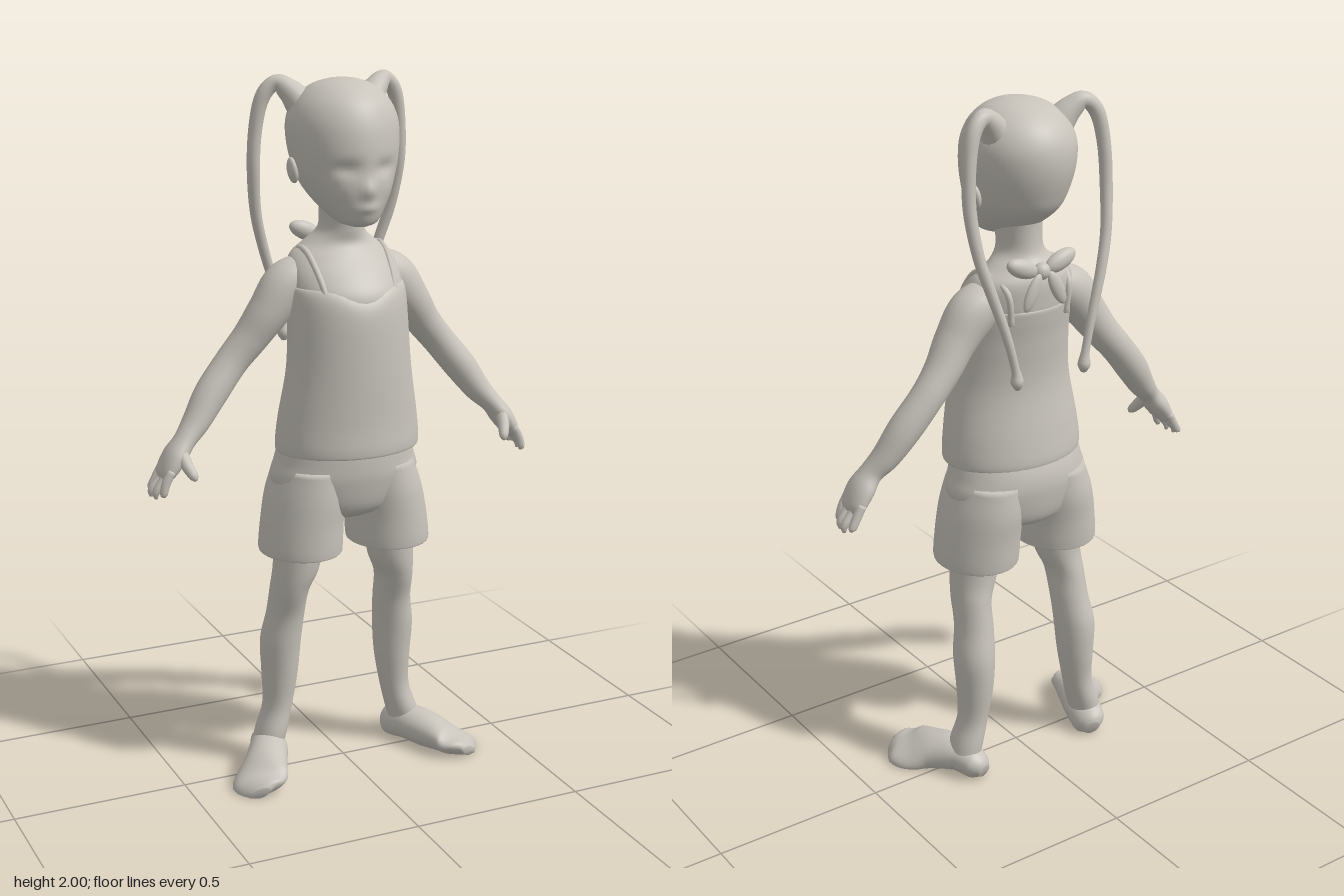
import * as THREE from 'three';

const clay = new THREE.MeshStandardMaterial({ color: 0xc8c4bc });
clay.name = 'warm grey clay';

// Smooth loft through sections [x, y, z, radiusU, radiusV].
// flat: rings stay horizontal (list bottom to top); otherwise they follow the path.
function loft(name, sections, { flat = false, side = 1, rows = 6, cols = 28, shape = null } = {}) {
  const centre = new THREE.CatmullRomCurve3(
    sections.map(s => new THREE.Vector3(s[0] * side, s[1], s[2])), false, 'catmullrom');
  const radius = new THREE.CatmullRomCurve3(
    sections.map(s => new THREE.Vector3(s[3], s[4] ?? s[3], 0)), false, 'catmullrom');
  const n = (sections.length - 1) * rows;
  const pos = [], idx = [];
  const add = p => { if (shape) shape(p); pos.push(p.x, p.y, p.z); };
  for (let i = 0; i <= n; i++) {
    const c = centre.getPoint(i / n), r = radius.getPoint(i / n);
    let u = new THREE.Vector3(1, 0, 0), v = new THREE.Vector3(0, 0, 1);
    if (!flat) {
      const t = centre.getTangent(i / n);
      v.addScaledVector(t, -v.dot(t)).normalize();
      u = t.clone().cross(v);
    }
    for (let j = 0; j < cols; j++) {
      const a = (j / cols) * Math.PI * 2;
      add(c.clone().addScaledVector(u, Math.cos(a) * r.x).addScaledVector(v, Math.sin(a) * r.y));
    }
  }
  for (let i = 0; i < n; i++) for (let j = 0; j < cols; j++) {
    const a = i * cols + j, b = i * cols + (j + 1) % cols;
    idx.push(a, a + cols, b, b, a + cols, b + cols);
  }
  // End caps
  const first = (n + 1) * cols;
  add(centre.getPoint(0));
  add(centre.getPoint(1));
  for (let j = 0; j < cols; j++) {
    const k = (j + 1) % cols;
    idx.push(first, j, k, first + 1, n * cols + k, n * cols + j);
  }
  const geo = new THREE.BufferGeometry();
  geo.setAttribute('position', new THREE.Float32BufferAttribute(pos, 3));
  geo.setIndex(idx);
  geo.computeVertexNormals();
  const mesh = new THREE.Mesh(geo, clay);
  mesh.name = name;
  return mesh;
}

function ellipsoid(name, p, r, rotZ = 0) {
  const mesh = new THREE.Mesh(new THREE.SphereGeometry(1, 20, 14), clay);
  mesh.name = name;
  mesh.position.set(...p);
  mesh.scale.set(...r);
  mesh.rotation.z = rotZ;
  return mesh;
}

const bump = (x, y, w, h) => Math.exp(-((x / w) ** 2) - (y / h) ** 2);

// Nose, eye sockets, cheeks and lips pressed into the front of the head
function face(p) {
  if (p.z < 0.04) return;
  const ax = Math.abs(p.x);
  p.z += 0.016 * bump(p.x, p.y - 1.705, 0.022, 0.026)
    - 0.013 * bump(ax - 0.055, p.y - 1.762, 0.032, 0.02)
    + 0.006 * bump(ax - 0.07, p.y - 1.7, 0.035, 0.03)
    + 0.007 * bump(p.x, p.y - 1.657, 0.03, 0.012);
}

export function createModel() {
  const model = new THREE.Group();
  model.name = 'girl';

  // Head and neck
  model.add(loft('head', [
    [0, 1.603, 0.1, 0.025, 0.03], [0, 1.615, 0.085, 0.055, 0.068], [0, 1.65, 0.05, 0.086, 0.115],
    [0, 1.7, 0.018, 0.118, 0.148], [0, 1.755, 0.005, 0.139, 0.163], [0, 1.82, -0.005, 0.151, 0.17],
    [0, 1.88, -0.01, 0.15, 0.163], [0, 1.93, -0.01, 0.128, 0.138], [0, 1.967, -0.008, 0.088, 0.093],
    [0, 1.984, -0.005, 0.042, 0.045], [0, 1.988, -0.005, 0.008, 0.008],
  ], { flat: true, cols: 56, shape: face }));
  model.add(loft('chestAndNeck', [
    [0, 1.3, 0.03, 0.15, 0.12], [0, 1.4, 0.018, 0.16, 0.14], [0, 1.46, -0.003, 0.162, 0.126],
    [0, 1.51, -0.025, 0.145, 0.103], [0, 1.545, -0.03, 0.1, 0.083], [0, 1.58, -0.018, 0.064, 0.073],
    [0, 1.63, -0.012, 0.06, 0.072], [0, 1.7, -0.01, 0.065, 0.075],
  ], { flat: true, cols: 40 }));

  // Sleeveless top, hem and neckline turned inwards
  model.add(loft('top', [
    [0, 1.0, 0.02, 0.17, 0.12], [0, 0.968, 0.025, 0.202, 0.152], [0, 0.985, 0.025, 0.21, 0.16],
    [0, 1.06, 0.028, 0.203, 0.154], [0, 1.2, 0.037, 0.18, 0.144], [0, 1.33, 0.03, 0.172, 0.146],
    [0, 1.4, 0.02, 0.17, 0.146], [0, 1.432, 0.01, 0.165, 0.138], [0, 1.43, 0.01, 0.15, 0.12],
  ], {
    flat: true, cols: 48,
    shape: p => { if (p.z > 0 && p.y > 1.33) p.y -= 0.022 * bump(p.x, p.y - 1.43, 0.07, 0.06); },
  }));

  // Shorts
  model.add(loft('shortsSeat', [
    [0, 0.765, 0, 0.09, 0.07], [0, 0.8, 0, 0.17, 0.125], [0, 0.88, 0.002, 0.218, 0.146],
    [0, 0.94, 0.005, 0.206, 0.148], [0, 1.01, 0.015, 0.19, 0.135],
  ], { flat: true, cols: 40 }));

  for (const side of [1, -1]) {
    const s = side > 0 ? 'left' : 'right';
    const put = (name, sections, options) => model.add(loft(s + name, sections, { side, ...options }));

    put('ShortsLeg', [
      [0.14, 0.73, 0.005, 0.085, 0.095], [0.136, 0.674, 0.005, 0.112, 0.127], [0.136, 0.685, 0.005, 0.118, 0.134],
      [0.13, 0.76, 0.003, 0.115, 0.138], [0.118, 0.84, 0, 0.11, 0.142], [0.105, 0.92, 0, 0.095, 0.135],
    ], { flat: true, cols: 32 });

    put('Leg', [
      [0.228, 0.03, -0.05, 0.045, 0.05], [0.212, 0.1, -0.048, 0.046, 0.056], [0.19, 0.18, -0.05, 0.043, 0.05],
      [0.182, 0.28, -0.05, 0.052, 0.06], [0.18, 0.38, -0.045, 0.058, 0.067], [0.17, 0.47, -0.03, 0.054, 0.064],
      [0.165, 0.55, -0.01, 0.054, 0.07], [0.147, 0.63, 0.003, 0.067, 0.074], [0.13, 0.8, 0.005, 0.075, 0.085],
    ], { flat: true });

    // Foot runs from heel to toe with a flat sole
    put('Foot', [
      [0.198, 0.025, -0.122, 0.02, 0.025], [0.207, 0.035, -0.095, 0.042, 0.05], [0.227, 0.05, -0.03, 0.052, 0.056],
      [0.265, 0.042, 0.04, 0.052, 0.065], [0.305, 0.026, 0.1, 0.038, 0.083], [0.325, 0.02, 0.145, 0.026, 0.066],
      [0.335, 0.015, 0.17, 0.014, 0.03],
    ], { shape: p => { p.y = Math.max(p.y, 0); } });

    put('ArmAndPalm', [
      [0.09, 1.47, -0.03, 0.05, 0.06], [0.158, 1.43, -0.025, 0.068, 0.066], [0.215, 1.36, -0.025, 0.058, 0.06],
      [0.265, 1.29, -0.035, 0.05, 0.052], [0.32, 1.225, -0.04, 0.046, 0.047], [0.385, 1.145, -0.03, 0.046, 0.047],
      [0.435, 1.075, -0.015, 0.038, 0.042], [0.475, 1.03, 0, 0.03, 0.037], [0.506, 0.99, 0.004, 0.031, 0.05],
      [0.532, 0.95, 0.004, 0.024, 0.05], [0.542, 0.93, 0.004, 0.012, 0.04],
    ]);

    // Four fingers and a thumb
    [[-0.036, 0.025, 0.905], [-0.009, 0.035, 0.89], [0.018, 0.03, 0.89], [0.043, 0.015, 0.9]].forEach(([z, reach, y], i) =>
      put('Finger' + (i + 1), [
        [0.528, 0.96, z, 0.013], [0.545, 0.93, z, 0.013], [0.542 + reach * 0.8, 0.9, z * 1.05, 0.011],
        [0.542 + reach * 0.85, y - 0.01, z * 1.05, 0.005],
      ], { cols: 10, rows: 4 }));
    put('Thumb', [
      [0.495, 1.0, 0.03, 0.02], [0.488, 0.972, 0.055, 0.017], [0.478, 0.948, 0.076, 0.013], [0.475, 0.938, 0.084, 0.005],
    ], { cols: 12, rows: 4 });

    // Long pigtail arching off the crown and hanging behind the shoulder
    put('Pigtail', [
      [0.09, 1.9, -0.045, 0.05], [0.128, 1.95, -0.065, 0.034], [0.163, 1.972, -0.082, 0.023],
      [0.198, 1.935, -0.092, 0.021], [0.216, 1.85, -0.1, 0.019], [0.22, 1.74, -0.108, 0.018],
      [0.207, 1.62, -0.128, 0.016], [0.18, 1.52, -0.145, 0.015], [0.142, 1.4, -0.158, 0.013],
      [0.117, 1.3, -0.164, 0.012], [0.112, 1.262, -0.165, 0.018], [0.11, 1.24, -0.165, 0.008],
    ], { cols: 14 });

    // Shoulder strap
    put('Strap', [
      [0.1, 1.4, 0.125, 0.014, 0.008], [0.108, 1.46, 0.088, 0.014, 0.008], [0.115, 1.518, 0.025, 0.014, 0.008],
      [0.115, 1.528, -0.035, 0.014, 0.008], [0.1, 1.49, -0.105, 0.014, 0.008], [0.09, 1.4, -0.108, 0.014, 0.008],
    ].map(([x, y, z]) => [x, y, z, 0.009]), { cols: 10 });

    // Ear, and half of the bow at the nape
    model.add(ellipsoid(s + 'Ear', [side * 0.143, 1.745, -0.015], [0.014, 0.036, 0.024], -side * 0.15));
    model.add(ellipsoid(s + 'BowLoop', [side * 0.062, 1.558, -0.118], [0.052, 0.026, 0.022], side * 0.4));
    model.add(ellipsoid(s + 'BowTail', [side * 0.04, 1.49, -0.135], [0.02, 0.055, 0.012], side * 0.45));
  }
  model.add(ellipsoid('bowKnot', [0, 1.54, -0.12], [0.024, 0.024, 0.022]));

  return model;
}
